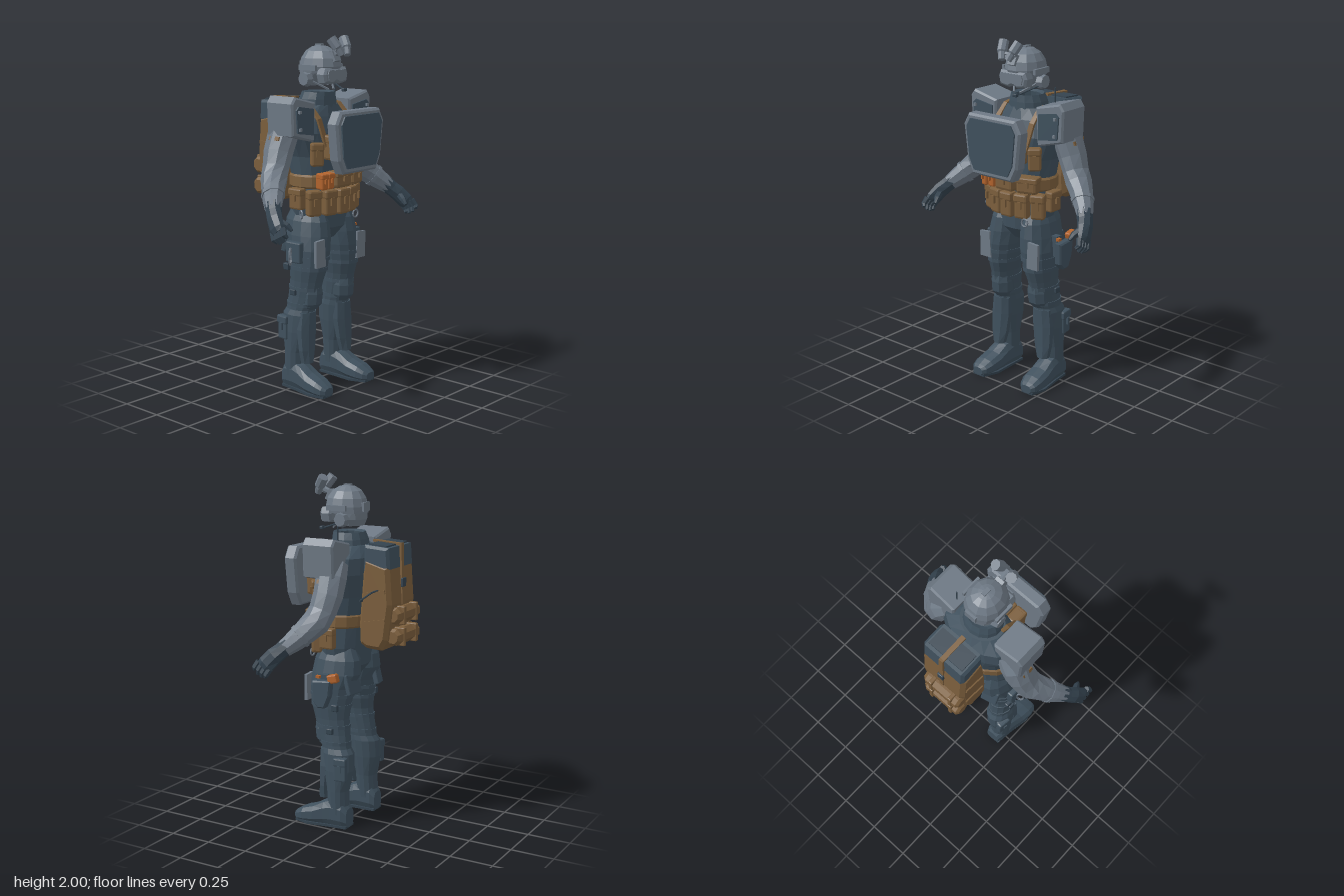
import * as THREE from 'three';
import { RoundedBoxGeometry } from 'three/addons/geometries/RoundedBoxGeometry.js';

const paint = (name, color) => Object.assign(new THREE.MeshStandardMaterial({ color }), { name });
const UP = new THREE.Vector3(0, 1, 0), FORWARD = new THREE.Vector3(0, 0, 1);

export function createModel() {
  const model = new THREE.Group();
  model.name = 'armoredTrooper';
  const slate = paint('slate blue', 0x3f505d), ink = paint('dark slate', 0x34434f);
  const grey = paint('armor grey', 0x6e7985), tan = paint('pouch brown', 0x7b5e3c);
  const orange = paint('orange', 0xb0622c);

  // Faceted mesh
  function add(name, geo, mat, x = 0, y = 0, z = 0, rx = 0, ry = 0, rz = 0) {
    const g = geo.index ? geo.toNonIndexed() : geo;
    g.computeVertexNormals();
    const m = new THREE.Mesh(g, mat);
    m.name = name;
    m.position.set(x, y, z);
    m.rotation.set(rx, ry, rz);
    model.add(m);
    return m;
  }
  const box = (name, mat, w, h, d, x, y, z, rx, ry, rz) =>
    add(name, new THREE.BoxGeometry(w, h, d), mat, x, y, z, rx, ry, rz);
  const soft = (name, mat, w, h, d, x, y, z, rx, ry, rz) =>
    add(name, new RoundedBoxGeometry(w, h, d, 1, Math.min(w, h, d) * 0.22), mat, x, y, z, rx, ry, rz);

  // Skin over rings [x, y, z, halfWidth, halfDepth]; axis fixes the direction all rings face
  function loft(name, mat, rings, n = 10, { axis = null, power = 1 } = {}) {
    const pos = [], idx = [];
    const c = rings.map(r => new THREE.Vector3(r[0], r[1], r[2]));
    const pw = v => Math.sign(v) * Math.abs(v) ** power;
    rings.forEach((r, i) => {
      const t = axis ?? c[Math.min(i + 1, c.length - 1)].clone().sub(c[Math.max(i - 1, 0)]).normalize();
      const u = new THREE.Vector3(1, 0, 0).addScaledVector(t, -t.x).normalize();
      const v = t.clone().cross(u);
      for (let j = 0; j < n; j++) {
        const a = (j + 0.5) / n * Math.PI * 2;
        const p = c[i].clone().addScaledVector(u, pw(Math.cos(a)) * r[3]).addScaledVector(v, pw(Math.sin(a)) * (r[4] ?? r[3]));
        pos.push(p.x, p.y, p.z);
      }
    });
    const last = rings.length - 1, s = rings.length * n;
    pos.push(...c[0].toArray(), ...c[last].toArray());
    for (let j = 0; j < n; j++) {
      const k = (j + 1) % n;
      for (let i = 0; i < last; i++) {
        const a = i * n + j, b = i * n + k;
        idx.push(a, b, b + n, a, b + n, a + n);
      }
      idx.push(s, k, j, s + 1, last * n + j, last * n + k);
    }
    const g = new THREE.BufferGeometry();
    g.setAttribute('position', new THREE.Float32BufferAttribute(pos, 3));
    g.setIndex(idx);
    return add(name, g, mat);
  }
  const stack = (name, mat, rings, n) => loft(name, mat, rings, n, { axis: UP });
  const rod = (name, mat, a, b, r, n = 6) => loft(name, mat, [[...a, r], [...b, r]], n);

  // Outline pushed from z0 to z1 with a bevel
  function slab(name, mat, pts, z0, z1, bevel = 0) {
    const g = new THREE.ExtrudeGeometry(new THREE.Shape(pts.map(p => new THREE.Vector2(...p))), {
      depth: z1 - z0 - 2 * bevel, bevelEnabled: bevel > 0, bevelSize: bevel, bevelOffset: -bevel, bevelThickness: bevel, bevelSegments: 1 });
    g.translate(0, 0, z0 + bevel);
    return add(name, g, mat);
  }
  // Side outline [z, y] pushed across x
  function sideSlab(name, mat, pts, half, bevel) {
    const m = slab(name, mat, pts, -half, half, bevel);
    m.geometry.rotateY(-Math.PI / 2);
    return m;
  }
  // Pouch with flap and buckle
  function pouch(name, mat, w, h, d, x, y, z, ry = 0) {
    soft(name, mat, w, h, d, x, y, z, 0, ry);
    const at = o => [x + Math.sin(ry) * o, z + Math.cos(ry) * o];
    const [fx, fz] = at(0.006), [bx, bz] = at(d / 2 + 0.006);
    soft(name + 'Flap', mat, w * 1.06, h * 0.35, d, fx, y + h * 0.32, fz, 0, ry);
    box(name + 'Buckle', mat, w * 0.25, h * 0.3, 0.012, bx, y + h * 0.05, bz, 0, ry);
  }

  // Torso and collar
  stack('torso', slate, [[0, 0.87, 0.045, 0.07, 0.08], [0, 0.94, 0.045, 0.17, 0.135], [0, 1.05, 0.045, 0.19, 0.14],
    [0, 1.2, 0.035, 0.175, 0.135], [0, 1.34, 0.02, 0.19, 0.15], [0, 1.47, 0.01, 0.245, 0.155],
    [0, 1.56, 0, 0.22, 0.14], [0, 1.62, 0.01, 0.13, 0.11]], 16);
  stack('collar', slate, [[0, 1.58, 0.015, 0.12, 0.11], [0, 1.65, 0.02, 0.11, 0.1], [0, 1.69, 0.025, 0.095, 0.09],
    [0, 1.68, 0.025, 0.075, 0.07], [0, 1.61, 0.02, 0.075, 0.07]], 14);

  // Helmet
  stack('helmetLiner', grey, [[0, 1.725, 0, 0.075, 0.06], [0, 1.76, 0.005, 0.092, 0.08], [0, 1.82, 0.03, 0.1, 0.11]], 12);
  stack('helmet', grey, [[0, 1.795, 0.035, 0.108, 0.118], [0, 1.83, 0.042, 0.112, 0.124], [0, 1.875, 0.042, 0.102, 0.113],
    [0, 1.915, 0.04, 0.076, 0.085], [0, 1.937, 0.038, 0.042, 0.047], [0, 1.945, 0.038, 0.01, 0.01]], 12);
  box('helmetTopPatch', grey, 0.025, 0.015, 0.045, 0, 1.943, 0.035);
  box('helmetRearBox', grey, 0.07, 0.05, 0.02, 0, 1.83, -0.076);
  box('visorMount', grey, 0.05, 0.06, 0.025, 0, 1.885, 0.148, -0.45);
  rod('visorArm', grey, [0, 1.9, 0.15], [0, 1.92, 0.205], 0.016);
  rod('gogglesBridge', grey, [-0.06, 1.925, 0.195], [0.06, 1.9251, 0.195], 0.012);
  slab('goggles', grey, [[-0.09, 1.745], [-0.03, 1.735], [0, 1.75], [0.03, 1.735], [0.09, 1.745], [0.1, 1.79], [0.085, 1.825], [-0.085, 1.825], [-0.1, 1.79]], 0.09, 0.162, 0.012);
  slab('goggleLens', grey, [[-0.07, 1.76], [0.07, 1.76], [0.078, 1.79], [0.07, 1.812], [-0.07, 1.812], [-0.078, 1.79]], 0.162, 0.168);
  rod('microphoneBoom', ink, [0.1, 1.745, 0.03], [0.05, 1.705, 0.16], 0.005);
  soft('microphone', ink, 0.03, 0.018, 0.02, 0.04, 1.703, 0.18);
  rod('antenna', ink, [0.17, 1.58, 0.0], [0.172, 1.735, 0.0], 0.004);

  // Chest shield and magazines
  slab('chestShield', grey, [[-0.14, 1.265], [0.14, 1.265], [0.178, 1.34], [0.202, 1.54], [0.165, 1.605], [-0.165, 1.605], [-0.202, 1.54], [-0.178, 1.34]], 0.258, 0.336, 0.012);
  slab('chestShieldPanel', slate, [[-0.12, 1.295], [0.12, 1.295], [0.152, 1.36], [0.17, 1.535], [0.143, 1.58], [-0.143, 1.58], [-0.17, 1.535], [-0.152, 1.36]], 0.336, 0.345);
  for (let i = -1; i <= 1; i++) pouch('magazinePouch', tan, 0.068, 0.14, 0.1, i * 0.073, 1.395, 0.198);

  // Belt and its pouches
  stack('belt', tan, [[0, 1.165, 0.037, 0.186, 0.145], [0, 1.175, 0.037, 0.195, 0.152], [0, 1.23, 0.035, 0.192, 0.15], [0, 1.24, 0.035, 0.18, 0.14]], 16);
  for (const x of [-0.155, -0.105]) pouch('orangePouch', orange, 0.044, 0.09, 0.065, x, 1.215, 0.19, x * 1.6);
  pouch('utilityPouch', tan, 0.125, 0.095, 0.08, -0.01, 1.215, 0.192);
  pouch('utilityPouch', tan, 0.125, 0.095, 0.08, 0.125, 1.215, 0.172, 0.3);
  [-0.168, -0.087, 0, 0.087, 0.168].forEach(x => pouch('beltPouch', tan, 0.08, 0.145, 0.06, x, 1.09, 0.195 - x * x * 2, x * 2.5));

  for (const s of [1, -1]) {
    const M = rings => rings.map(([x, ...r]) => [x * s, ...r]);
    const P = (x, y, z) => [x * s, y, z];

    // Headset, rail and raised goggle tube
    add('headset', new THREE.CylinderGeometry(0.036, 0.045, 0.035, 8), grey, s * 0.103, 1.762, 0.02, 0, 0, -s * Math.PI / 2);
    box('helmetRail', grey, 0.016, 0.03, 0.12, s * 0.111, 1.825, 0.045);
    rod('chinStrap', grey, P(0.08, 1.75, 0.05), P(0.02, 1.705, 0.12), 0.006, 4);
    loft('nightGoggleTube', grey, M([[0.022, 1.895, 0.217, 0.02], [0.034, 1.93, 0.2, 0.022], [0.037, 1.935, 0.197, 0.029], [0.053, 1.985, 0.162, 0.029]]), 8);

    // Shoulder armor
    slab('shoulderArmor', grey, [[s * 0.15, 1.425], [s * 0.325, 1.47], [s * 0.332, 1.645], [s * 0.305, 1.682], [s * 0.14, 1.643]], -0.062, 0.132, 0.01);
    slab('shoulderArmorPanel', slate, [[s * 0.165, 1.465], [s * 0.295, 1.485], [s * 0.305, 1.61], [s * 0.285, 1.63], [s * 0.165, 1.61]], 0.132, 0.141);
    for (const [x, y] of [[0.285, 1.6], [0.28, 1.505]]) box('panelStud', grey, 0.016, 0.016, 0.016, s * x, y, 0.144);
    loft('shoulderStrap', tan, M([[0.1, 1.4, 0.175, 0.02, 0.008], [0.125, 1.55, 0.14, 0.02, 0.008], [0.122, 1.62, 0.07, 0.016, 0.008], [0.12, 1.63, 0.03, 0.012, 0.006]]), 4, { power: 0.6 });
    pouch('chestSidePouch', tan, 0.07, 0.13, 0.05, s * 0.152, 1.36, 0.15, s * 0.6);

    // Sleeve with folds
    loft('sleeve', grey, M([[0.2, 1.53, -0.005, 0.06, 0.075], [0.255, 1.46, -0.01, 0.08, 0.09], [0.29, 1.37, -0.01, 0.078, 0.086], [0.325, 1.29, 0.005, 0.07, 0.08],
      [0.36, 1.235, 0.025, 0.072, 0.08], [0.41, 1.185, 0.065, 0.062, 0.07], [0.455, 1.14, 0.105, 0.053, 0.06], [0.495, 1.1, 0.145, 0.042, 0.048]]), 9);
    box('sleevePatch', tan, 0.012, 0.022, 0.07, s * 0.33, 1.452, 0, 0, 0, s * 0.35);
    loft('forearmStrap', grey, M([[0.425, 1.17, 0.078, 0.064, 0.072], [0.437, 1.158, 0.089, 0.062, 0.07]]), 9);

    // Glove and fingers
    loft('glove', ink, M([[0.476, 1.122, 0.126, 0.046, 0.05], [0.505, 1.088, 0.158, 0.042, 0.046], [0.528, 1.06, 0.187, 0.04, 0.05], [0.552, 1.015, 0.225, 0.03, 0.052], [0.558, 0.998, 0.24, 0.02, 0.045]]), 8);
    for (let i = 0; i < 4; i++) {
      const k = i - 1.5, z = 0.235 + k * 0.024, y = 1.01 + k * 0.012;
      loft('finger', ink, M([[0.555, y, z, 0.018], [0.567, y - 0.034, z + 0.02, 0.016], [0.555, y - 0.062 + k * k * 0.006, z + 0.032, 0.01]]), 6);
    }
    loft('thumb', ink, M([[0.52, 1.055, 0.205, 0.022], [0.5, 1.03, 0.25, 0.018], [0.492, 1.005, 0.275, 0.01]]), 6);

    // Leg, knee pad and straps
    stack('leg', slate, M([[0.168, 0.08, 0, 0.06, 0.062], [0.165, 0.22, 0.005, 0.066, 0.065], [0.158, 0.34, 0.008, 0.074, 0.095], [0.152, 0.44, 0.015, 0.075, 0.1],
      [0.148, 0.47, 0.025, 0.068, 0.09], [0.142, 0.55, 0.045, 0.07, 0.1], [0.138, 0.64, 0.06, 0.076, 0.105], [0.132, 0.72, 0.068, 0.09, 0.122],
      [0.122, 0.82, 0.065, 0.1, 0.135], [0.112, 0.9, 0.045, 0.1, 0.15], [0.105, 0.98, 0.04, 0.09, 0.14], [0.1, 1.06, 0.04, 0.06, 0.1]]), 14);
    stack('kneePad', slate, M([[0.138, 0.475, 0.085, 0.045, 0.04], [0.138, 0.51, 0.095, 0.064, 0.062], [0.136, 0.57, 0.098, 0.066, 0.066], [0.135, 0.62, 0.095, 0.055, 0.06], [0.134, 0.645, 0.09, 0.035, 0.04]]), 8);
    stack('shinGuard', slate, M([[0.166, 0.165, 0.09, 0.04, 0.035], [0.163, 0.24, 0.085, 0.058, 0.036], [0.156, 0.36, 0.075, 0.068, 0.045], [0.15, 0.46, 0.075, 0.062, 0.045]]), 8);
    for (const [x, y, z, rx, rz] of [[0.126, 0.775, 0.066, 0.1, 0.134], [0.132, 0.715, 0.067, 0.093, 0.125], [0.14, 0.595, 0.052, 0.077, 0.106], [0.146, 0.5, 0.034, 0.073, 0.097]])
      stack('legStrap', slate, M([[x, y - 0.01, z, rx, rz], [x, y + 0.01, z, rx, rz]]), 14);
    slab('thighPlate', grey, [[s * 0.132, 0.735], [s * 0.21, 0.735], [s * 0.212, 0.885], [s * 0.142, 0.89]], 0.182, 0.2);
    pouch('calfPouch', slate, 0.075, 0.14, 0.04, s * 0.215, 0.36, -0.04, s * 1.7);
    soft('kneeBuckle', ink, 0.025, 0.035, 0.04, s * 0.215, 0.575, 0.03);
    soft('legBuckle', ink, 0.025, 0.04, 0.04, s * 0.225, 0.72, -0.01);
    soft('backPocket', slate, 0.1, 0.12, 0.03, s * 0.14, 0.85, -0.073, 0.25, -s * 0.25);

    // Boot
    loft('boot', slate, M([[0.165, 0.06, -0.07, 0.045, 0.058], [0.167, 0.08, -0.04, 0.058, 0.08], [0.17, 0.085, 0.03, 0.062, 0.085], [0.173, 0.077, 0.075, 0.064, 0.077],
      [0.177, 0.058, 0.14, 0.07, 0.058], [0.181, 0.046, 0.21, 0.068, 0.046], [0.184, 0.036, 0.25, 0.055, 0.033], [0.185, 0.032, 0.27, 0.035, 0.024]]), 10, { axis: FORWARD, power: 0.75 });
    slab('bootSole', ink, [[s * 0.12, 0.068], [s * 0.21, 0.068], [s * 0.222, -0.04], [s * 0.246, -0.17], [s * 0.225, -0.262], [s * 0.145, -0.262], [s * 0.11, -0.17]], 0, 0.014).rotation.x = -Math.PI / 2;

    // Hip pouch
    pouch('hipPouch', tan, 0.09, 0.12, 0.05, s * 0.2, 1.11, 0.05, s * Math.PI / 2);
  }

  // Holster on the left thigh
  sideSlab('holster', slate, [[-0.02, 0.89], [0.1, 0.88], [0.095, 0.76], [0.065, 0.725], [0.02, 0.73], [-0.01, 0.8]], 0.024, 0.008).position.x = 0.27;
  soft('holsterGrip', orange, 0.04, 0.05, 0.062, 0.268, 0.902, -0.025, 0.25);
  box('holsterTab', orange, 0.02, 0.015, 0.025, 0.262, 0.9, 0.075);
  box('holsterHanger', slate, 0.04, 0.12, 0.04, 0.225, 0.85, 0.05);

  // Gear on the right hip
  add('snapRing', new THREE.TorusGeometry(0.03, 0.006, 5, 10).scale(0.7, 1.5, 1), grey, -0.262, 0.79, 0.05, 0, 0.5);
  soft('rightThighPouch', slate, 0.04, 0.12, 0.11, -0.225, 0.81, 0.05);
  add('beltRing', new THREE.TorusGeometry(0.022, 0.005, 5, 10), grey, 0.12, 1.0, 0.2);
  add('beltRing', new THREE.TorusGeometry(0.022, 0.005, 5, 10), grey, -0.225, 1.03, 0.1, 0, 1);

  // Backpack with dark top box
  sideSlab('backpack', tan, [[-0.12, 1.09], [-0.115, 1.2], [-0.145, 1.57], [-0.3, 1.53], [-0.315, 1.32], [-0.29, 1.12], [-0.255, 1.06], [-0.16, 1.065]], 0.148, 0.022);
  sideSlab('backpackTopBox', slate, [[-0.14, 1.48], [-0.145, 1.64], [-0.295, 1.63], [-0.303, 1.515]], 0.142, 0.015);
  box('topBoxLid', ink, 0.235, 0.012, 0.11, 0, 1.637, -0.22, -0.06);
  box('topStrap', tan, 0.028, 0.012, 0.17, 0, 1.643, -0.218, -0.06);
  box('rearStrap', tan, 0.028, 0.34, 0.012, 0, 1.475, -0.309, 0.03);
  soft('strapBuckle', ink, 0.04, 0.05, 0.015, 0, 1.43, -0.318);
  for (const y of [1.135, 1.255]) {
    const roll = loft('bedroll', tan, [[0, 0, -0.145, 0.035], [0, 0, -0.13, 0.05], [0, 0, 0.09, 0.05], [0, 0, 0.11, 0.035]], 8);
    roll.rotation.y = Math.PI / 2;
    roll.position.set(0, y, -0.308);
    for (const x of [-0.09, 0.05]) soft('bedrollStrap', tan, 0.025, 0.104, 0.104, x, y, -0.308);
  }
  for (const s of [1, -1]) for (const y of [1.22, 1.38]) box('sideStrap', tan, 0.012, 0.02, 0.13, s * 0.15, y, -0.22, 0.2);
  const loop = [[0.14, 1.4, -0.24], [0.185, 1.39, -0.22], [0.186, 1.34, -0.15], [0.14, 1.33, -0.14]];
  for (let i = 0; i < 3; i++) rod('sideLoop', ink, loop[i], loop[i + 1], 0.005);

  return model;
}
